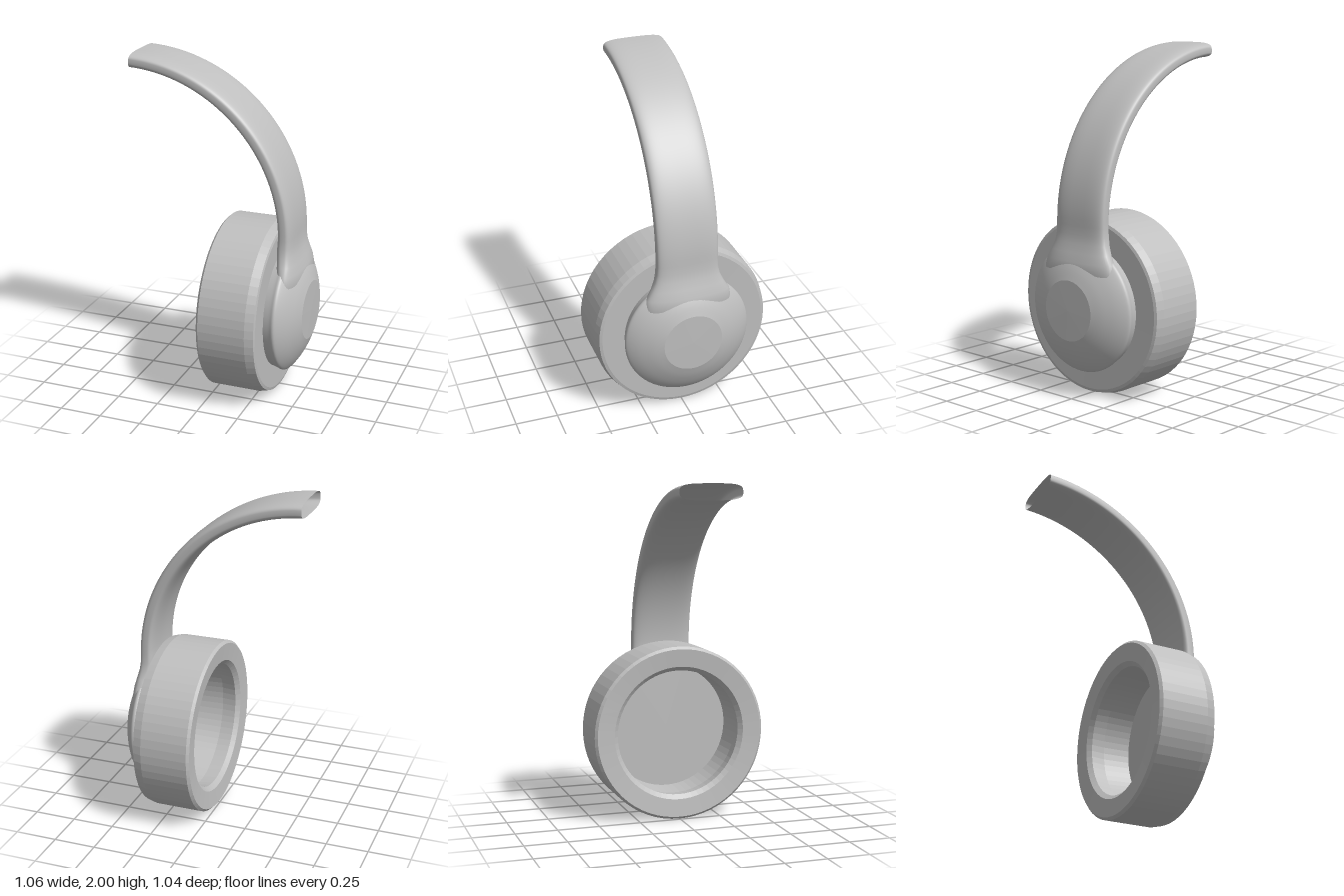
import * as THREE from 'three';

const CUP_Y = 0.525;

// Lathe around the x axis; profile points are [radius, x]
function turned(profile, segments) {
  const g = new THREE.LatheGeometry(profile.map(([r, x]) => new THREE.Vector2(r, x)), segments);
  g.rotateZ(-Math.PI / 2);
  return g;
}

// Skin a row of superellipse sections { x, y, tilt, w, t, n } into an open tube
function loft(sections, sides) {
  const positions = [], index = [];
  const power = (v, n) => Math.sign(v) * Math.pow(Math.abs(v), 2 / n);
  sections.forEach((s) => {
    for (let j = 0; j < sides; j++) {
      const a = (j / sides) * Math.PI * 2;
      const out = s.t * power(Math.cos(a), s.n);
      const side = s.w * power(Math.sin(a), s.n);
      positions.push(s.x + out * Math.cos(s.tilt), s.y + out * Math.sin(s.tilt), side);
    }
  });
  for (let i = 0; i < sections.length - 1; i++) {
    for (let j = 0; j < sides; j++) {
      const k = (j + 1) % sides;
      const a = i * sides + j, b = i * sides + k;
      const c = a + sides, d = b + sides;
      index.push(a, b, c, b, d, c);
    }
  }
  // sections run upwards, so flip to make faces point outwards
  for (let i = 0; i < index.length; i += 3) [index[i + 1], index[i + 2]] = [index[i + 2], index[i + 1]];
  const g = new THREE.BufferGeometry();
  g.setAttribute('position', new THREE.Float32BufferAttribute(positions, 3));
  g.setIndex(index);
  g.computeVertexNormals();
  return g;
}

export function createModel() {
  const group = new THREE.Group();
  const grey = new THREE.MeshStandardMaterial({ color: 0xbfbfbf, side: THREE.DoubleSide });
  grey.name = 'grey';

  function add(name, geometry, y = 0) {
    const mesh = new THREE.Mesh(geometry, grey);
    mesh.name = name;
    mesh.position.y = y;
    group.add(mesh);
  }

  // Hollow faceted ear cup, open towards -x
  const cup = turned([
    [0, 0.28], [0.375, 0.28], [0.385, 0.12], [0.375, 0.035], [0.4, 0.01],
    [0.505, 0], [0.52, 0.015], [0.52, 0.295], [0.507, 0.345], [0.49, 0.35], [0, 0.347],
  ], 64).toNonIndexed();
  cup.computeVertexNormals();
  add('earCup', cup, CUP_Y);

  // Smooth domed cover on the outside of the cup
  const dome = new THREE.SplineCurve([
    [0.355, 0.34], [0.366, 0.385], [0.374, 0.41], [0.36, 0.43], [0.31, 0.465], [0.24, 0.5], [0.175, 0.523],
  ].map(([r, x]) => new THREE.Vector2(r, x))).getPoints(24).map((p) => [p.x, p.y]);
  add('outerCover', turned(dome, 64), CUP_Y);
  add('coverFace', turned([[0.175, 0.523], [0, 0.525]], 64), CUP_Y);

  // Neck flaring into the cover: [y, inner x, outer x, half width, squareness]
  const neck = [
    [0.66, 0.35, 0.48, 0.25, 2], [0.74, 0.35, 0.5, 0.262, 2.1], [0.8, 0.35, 0.487, 0.248, 2.3],
    [0.85, 0.35, 0.472, 0.216, 2.7], [0.9, 0.35, 0.456, 0.194, 3.1], [0.95, 0.35, 0.448, 0.184, 3.4],
  ];
  const stations = neck.map(([y, a, b, w, n]) => (
    { x: (a + b) / 2, y, tilt: 0, w, t: (b - a) / 2, n }));

  // Headband as a quarter arc, ending open at the top
  const steps = 40, end = 1.53, rx = 0.97, ry = 0.955;
  for (let i = 0; i <= steps; i++) {
    const a = (i / steps) * end;
    stations.push({
      x: -0.57 + rx * Math.cos(a), y: 1 + ry * Math.sin(a),
      tilt: a, w: 0.182, t: 0.046, n: 3.5,
    });
  }
  add('headband', loft(stations, 56));

  return group;
}
